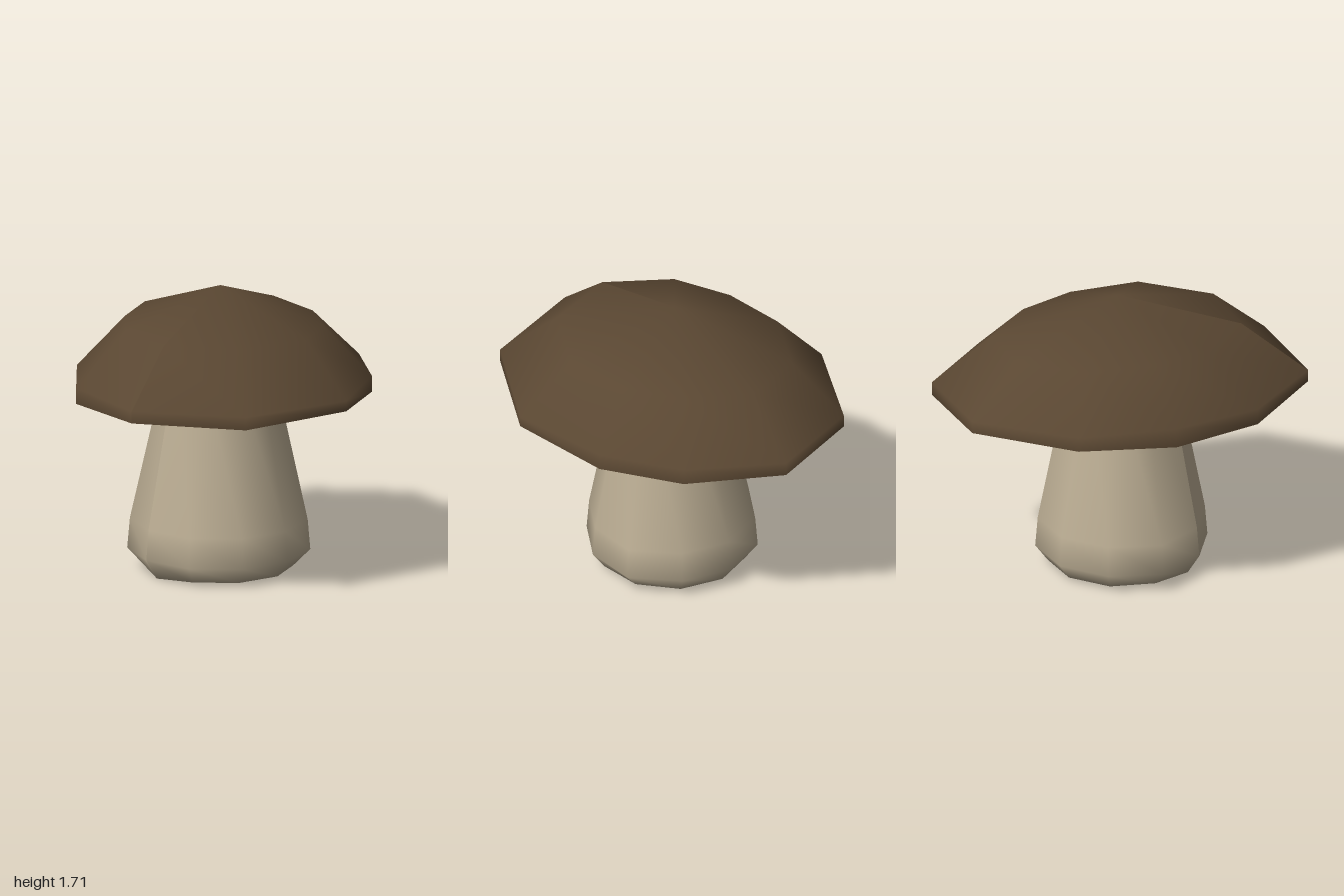
import * as THREE from 'three';

// Skin a list of equal-length rings (first ring to last), each counter-clockwise from above
function loft(rings) {
  const n = rings[0].length, index = [];
  for (let r = 0; r < rings.length - 1; r++) {
    for (let i = 0; i < n - 1; i++) {
      const a = r * n + i, b = a + n;
      index.push(a, b, b + 1, a, b + 1, a + 1);
    }
  }
  const geo = new THREE.BufferGeometry();
  geo.setAttribute('position', new THREE.Float32BufferAttribute(rings.flat(2), 3));
  geo.setIndex(index);
  geo.computeVertexNormals();
  return geo;
}

// Stem corner at a given tenth of a turn and profile row: [radius, height]
const profile = [[0.51, 0.12], [0.495, 0.30], [0.298, 1.32]];
function stemPoint(tenth, row) {
  const a = tenth * Math.PI / 5;
  const swell = row < 2 && (tenth + 10) % 5 === 4 ? 1.05 : 1; // two opposite corners bulge
  const r = profile[row][0] * swell;
  const x = Math.sin(a) * r;
  return [row === 2 && x < 0 ? x * 0.92 : x, profile[row][1], Math.cos(a) * r];
}

export function createModel() {
  const group = new THREE.Group();
  group.name = 'mushroom';
  const brown = new THREE.MeshStandardMaterial({ color: 0x5a4732 });
  brown.name = 'cap brown';
  const cream = new THREE.MeshStandardMaterial({ color: 0xbcae94 });
  cream.name = 'stem cream';

  const add = (name, geo, mat) => {
    const mesh = new THREE.Mesh(geo, mat);
    mesh.name = name;
    group.add(mesh);
    return mesh;
  };

  // Irregular cap outline: x, z, lower edge height
  const rim = [
    [0.42, 1.00, 1.13], [0.90, 0.53, 1.11], [0.925, -0.20, 1.11], [0.55, -0.69, 1.07],
    [0.10, -0.95, 1.07], [-0.50, -1.00, 1.09], [-0.93, -0.57, 1.11], [-0.93, 0.10, 1.11],
    [-0.61, 0.59, 1.085], [-0.19, 0.93, 1.11],
  ];
  rim.push(rim[0]); // closing seam
  const apex = rim.map(() => [-0.03, 1.705, -0.02]);
  const shoulder = rim.map(([x, z]) => [x * 0.685 - 0.02, 1.485 + 0.022 * z, z * 0.66 - 0.02]);
  const upperEdge = rim.map(([x, z]) => [x, 1.185 - 0.01 * x + 0.02 * z, z]);
  const lowerEdge = rim.map(([x, z, y]) => [x, y, z]);
  const hub = rim.map(() => [-0.02, 1.38, 0]);

  // Cap top, with a level normal at the peak
  const capGeo = loft([apex, shoulder, upperEdge, lowerEdge]);
  for (let i = 0; i < rim.length; i++) capGeo.attributes.normal.setXYZ(i, 0, 1, 0);
  add('cap', capGeo, brown);
  // Hollow underside rising to the stem
  add('capUnderside', loft([lowerEdge, hub]), brown);

  // Ten-sided stem with a bevelled foot; the front corner dips to the ground
  const tenths = Array.from({ length: 11 }, (_, i) => i);
  const foot = tenths.map((t) => {
    const a = t * Math.PI / 5;
    return [Math.sin(a) * 0.435, t % 10 ? 0.02 : 0, Math.cos(a) * 0.435];
  });
  const wall = [2, 1, 0].map((row) => tenths.map((t) => stemPoint(t, row)));
  const base = tenths.map(() => [0, 0.02, 0]);
  const stem = add('stem', loft([...wall, foot, base]), cream);

  // Ragged brown collar hugging the stem top: tenth of a turn, hem height
  const hems = [
    [-5, 1.18], [-4, 1.14], [-3, 1.07], [-2, 0.99], [-1, 0.99], [-0.12, 1.0], [0, 1.03],
    [0, 1.13], [1, 1.12], [2, 1.14], [3, 1.21], [4, 1.26], [5, 1.18],
  ];
  const collarPoint = (t, y, gap) => {
    // Follow the flat stem sides between corners
    const i = Math.floor(t), f = t - i, k = (y - 0.30) / 1.02;
    const at = (row, axis) => THREE.MathUtils.lerp(stemPoint(i, row)[axis], stemPoint(i + 1, row)[axis], f);
    const x = THREE.MathUtils.lerp(at(1, 0), at(2, 0), k);
    const z = THREE.MathUtils.lerp(at(1, 2), at(2, 2), k);
    const grow = 1 + gap / Math.hypot(x, z);
    return [x * grow, y, z * grow];
  };
  const collar = add('collar', loft([
    hems.map(([t]) => collarPoint(t, 1.32, 0.012)),
    hems.map(([t, y]) => collarPoint(t, y, 0.006)),
  ]), brown);

  for (const part of [stem, collar]) {
    part.position.x = -0.02;
    part.rotation.y = -0.08;
  }
  return group;
}
